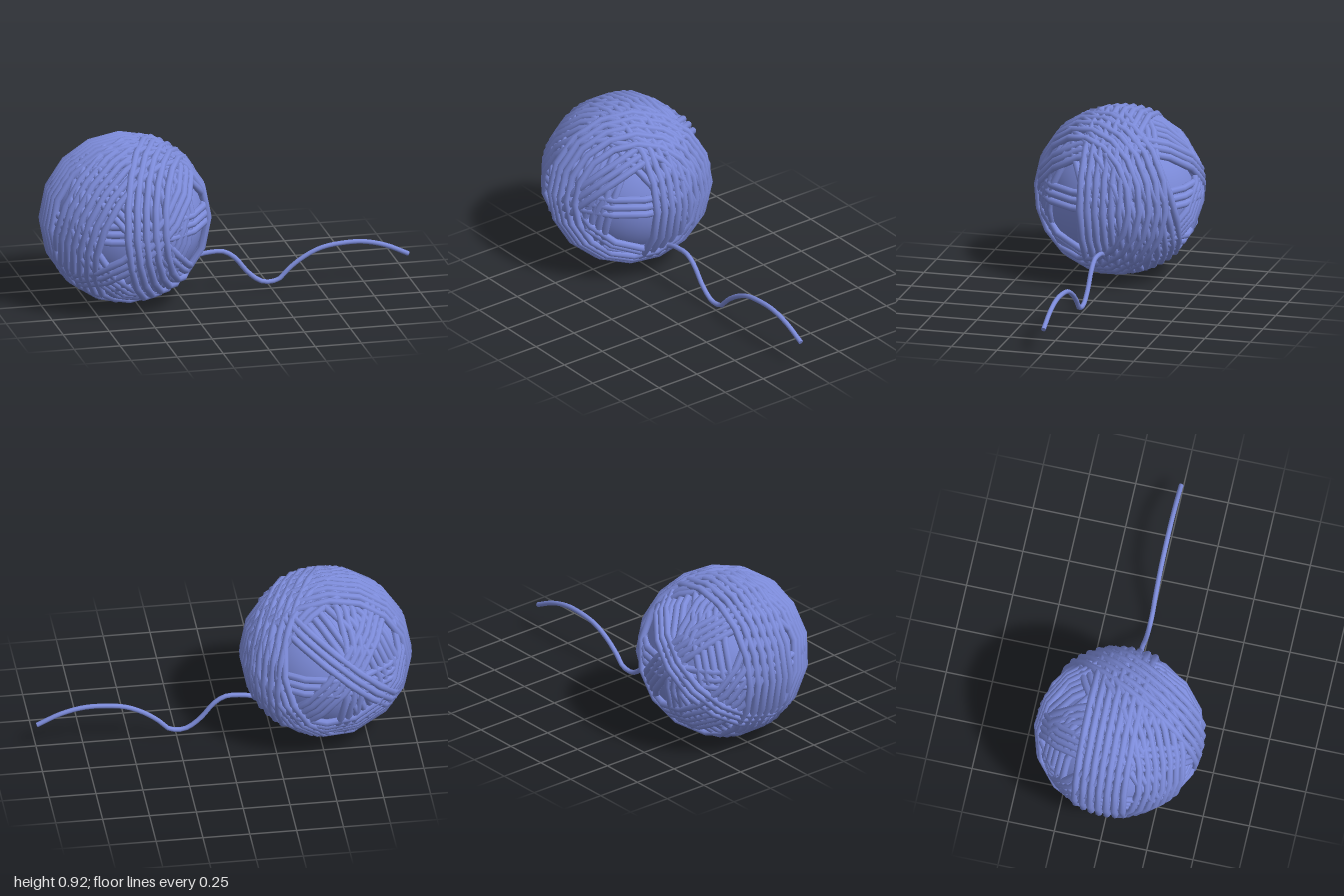
import * as THREE from 'three';

const CENTRE = new THREE.Vector3(-0.545, 0.466, 0);
const YARN = 0.02;

// Each band: plane normal, first and last strand offset, strand count, winding radius
const BANDS = [
  ['waistBand', [0, 1, 0], -0.005, 0.08, 3, 0.422],
  ['sideBand', [0, 0, 1], -0.15, 0.11, 7, 0.438],
  ['shoulderBand', [0.1, 0.55, -0.8], 0.03, 0.19, 5, 0.428],
  ['risingBand', [-0.65, 0.7, 0.2], 0, 0.08, 3, 0.434],
  ['longMeridianBand', [0.59, -0.29, 0.75], -0.12, 0.15, 7, 0.436],
  ['rightMeridianBand', [0.85, -0.42, -0.3], -0.05, 0.08, 4, 0.42],
  ['lowSlingBand', [0.76, 0.65, 0], -0.03, 0.08, 4, 0.426],
  ['archBand', [0.89, 0.06, 0.45], 0.12, 0.3, 5, 0.442],
  ['frontBackBand', [0.95, 0.1, -0.25], -0.03, 0.05, 3, 0.424],
  ['backBand', [0.75, -0.25, -0.6], -0.14, 0.02, 5, 0.42],
  ['crownBand', [0.55, 0.3, 0.75], 0.01, 0.12, 4, 0.428],
];

export function createModel() {
  const model = new THREE.Group();
  model.name = 'yarnBall';
  const yarn = new THREE.MeshStandardMaterial({ color: 0x7d8cdb });
  yarn.name = 'periwinkleYarn';

  const ball = new THREE.Group();
  ball.name = 'ball';
  ball.position.copy(CENTRE);
  model.add(ball);

  // Solid centre seen between the strands
  const core = new THREE.Mesh(new THREE.SphereGeometry(0.41, 40, 28), yarn);
  core.name = 'core';
  ball.add(core);

  // Parallel coarse rings wound around the core
  const axis = new THREE.Vector3(0, 0, 1);
  for (const [name, normal, first, last, count, radius] of BANDS) {
    const band = new THREE.Group();
    band.name = name;
    band.quaternion.setFromUnitVectors(axis, new THREE.Vector3(...normal).normalize());
    for (let i = 0; i < count; i++) {
      const offset = first + (last - first) * i / (count - 1);
      const ringRadius = Math.sqrt(radius * radius - offset * offset);
      const strand = new THREE.Mesh(new THREE.TorusGeometry(ringRadius, YARN, 8, 16), yarn);
      strand.name = 'strand';
      strand.position.z = offset;
      band.add(strand);
    }
    ball.add(band);
  }

  // Loose end trailing along the ground
  const path = [
    [-0.24, 0.17], [-0.15, 0.222], [-0.08, 0.234], [-0.01, 0.232], [0.05, 0.195],
    [0.12, 0.11], [0.18, 0.06], [0.22, 0.045], [0.29, 0.055], [0.34, 0.105],
    [0.42, 0.165], [0.52, 0.212], [0.64, 0.23], [0.75, 0.229], [0.87, 0.2], [0.995, 0.142],
  ].map(([x, y]) => new THREE.Vector3(x, y, -0.003));
  const curve = new THREE.CatmullRomCurve3(path);
  const tail = new THREE.Mesh(new THREE.TubeGeometry(curve, 40, 0.013, 8), yarn);
  tail.name = 'looseEnd';
  model.add(tail);

  const tip = new THREE.Mesh(new THREE.CircleGeometry(0.013, 8), yarn);
  tip.name = 'looseEndTip';
  tip.position.copy(path[path.length - 1]);
  tip.quaternion.setFromUnitVectors(axis, curve.getTangent(1));
  model.add(tip);

  return model;
}
